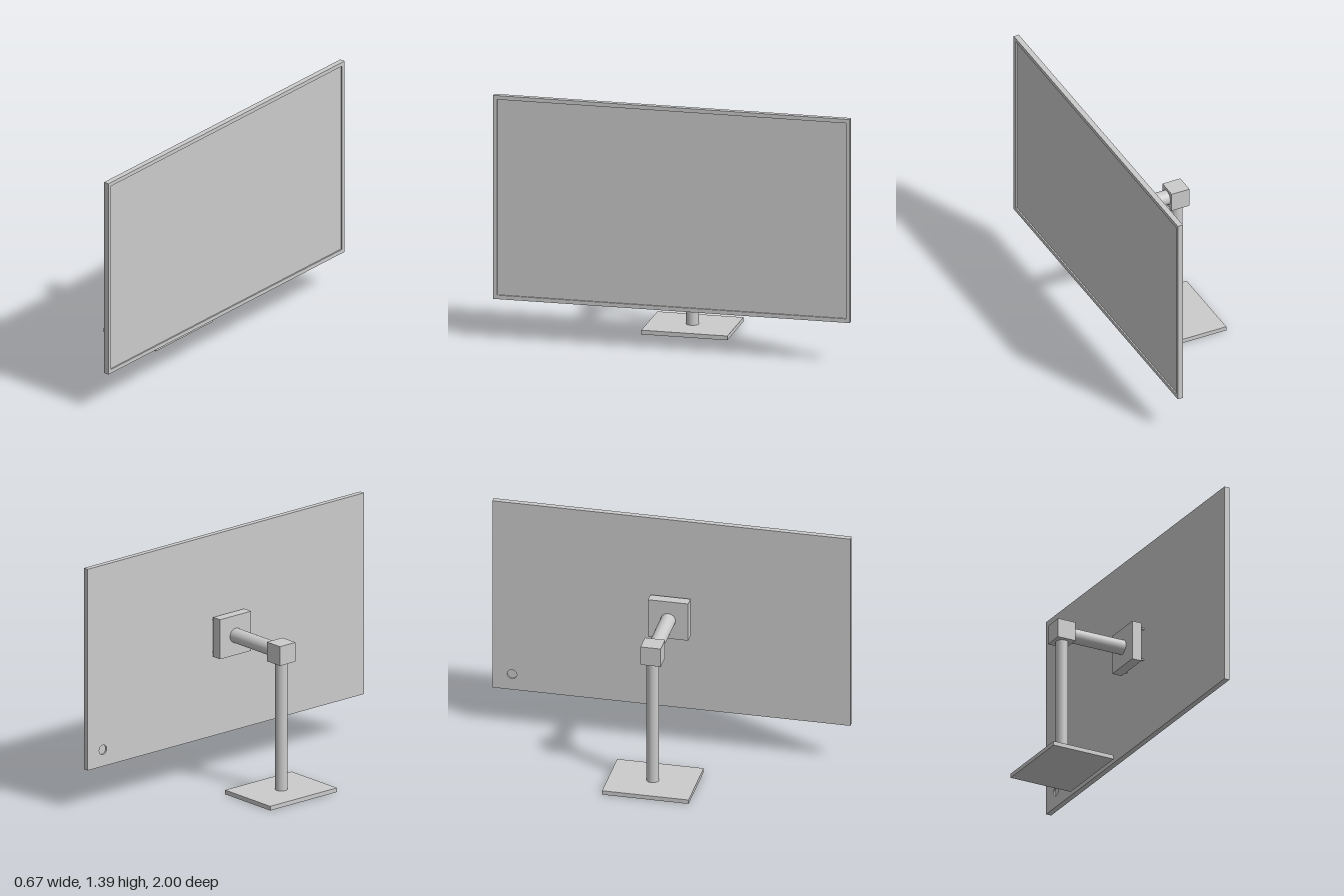
import * as THREE from 'three';

const material = new THREE.MeshStandardMaterial({ color: 0xcccccc });

function add(parent, name, geometry, x, y, z) {
  const mesh = new THREE.Mesh(geometry, material);
  mesh.name = name;
  mesh.position.set(x, y, z);
  parent.add(mesh);
  return mesh;
}

// Box given by its x and y limits and its depth, centred on z = 0
function box(parent, name, x0, x1, y0, y1, depth) {
  return add(parent, name, new THREE.BoxGeometry(x1 - x0, y1 - y0, depth), (x0 + x1) / 2, (y0 + y1) / 2, 0);
}

// Round bar lying along x
function barX(parent, name, r, x0, x1, y, z, sides) {
  const bar = add(parent, name, new THREE.CylinderGeometry(r, r, x1 - x0, sides), (x0 + x1) / 2, y, z);
  bar.rotation.z = Math.PI / 2;
  return bar;
}

function rectangle(PathType, w, h) {
  const p = new PathType();
  p.moveTo(-w / 2, -h / 2);
  p.lineTo(w / 2, -h / 2);
  p.lineTo(w / 2, h / 2);
  p.lineTo(-w / 2, h / 2);
  p.closePath();
  return p;
}

// Upright sheet with a hole, spanning x0 to x1
function holedSheet(parent, name, w, h, hole, x0, x1, y) {
  const shape = rectangle(THREE.Shape, w, h);
  shape.holes.push(hole);
  const geometry = new THREE.ExtrudeGeometry(shape, { depth: x1 - x0, bevelEnabled: false, curveSegments: 32 });
  geometry.rotateY(Math.PI / 2);
  return add(parent, name, geometry, x0, y, 0);
}

export function createModel() {
  const model = new THREE.Group();
  model.name = 'monitor';

  // Stand: foot plate, post, elbow block and arm
  const stand = new THREE.Group();
  stand.name = 'stand';
  model.add(stand);
  box(stand, 'base', -0.337, 0.037, 0, 0.024, 0.483);
  add(stand, 'post', new THREE.CylinderGeometry(0.035, 0.035, 0.733, 48), -0.152, 0.3905, 0);
  box(stand, 'elbow', -0.206, -0.097, 0.757, 0.867, 0.113);
  barX(stand, 'arm', 0.041, -0.097, 0.225, 0.812, 0, 48);

  // Mount plate with four pins reaching the panel
  const mount = new THREE.Group();
  mount.name = 'mount';
  model.add(mount);
  box(mount, 'mountPlate', 0.225, 0.283, 0.699, 0.926, 0.225);
  for (const dy of [-0.092, 0.092])
    for (const z of [-0.092, 0.092])
      barX(mount, 'mountPin', 0.006, 0.283, 0.306, 0.81 + dy, z, 24);

  // Panel: back sheet with a round recess, core, and raised bezel
  const panel = new THREE.Group();
  panel.name = 'panel';
  model.add(panel);
  const width = 2, height = 1.155, midY = 0.8125;
  const recess = new THREE.Path().absarc(0.89, 0.33 - midY, 0.027, 0, Math.PI * 2, true);
  holedSheet(panel, 'backCover', width, height, recess, 0.306, 0.314, midY);
  box(panel, 'screen', 0.314, 0.329, midY - height / 2, midY + height / 2, width);
  const opening = rectangle(THREE.Path, width - 0.045, height - 0.045);
  holedSheet(panel, 'bezel', width, height, opening, 0.329, 0.337, midY);

  return model;
}
